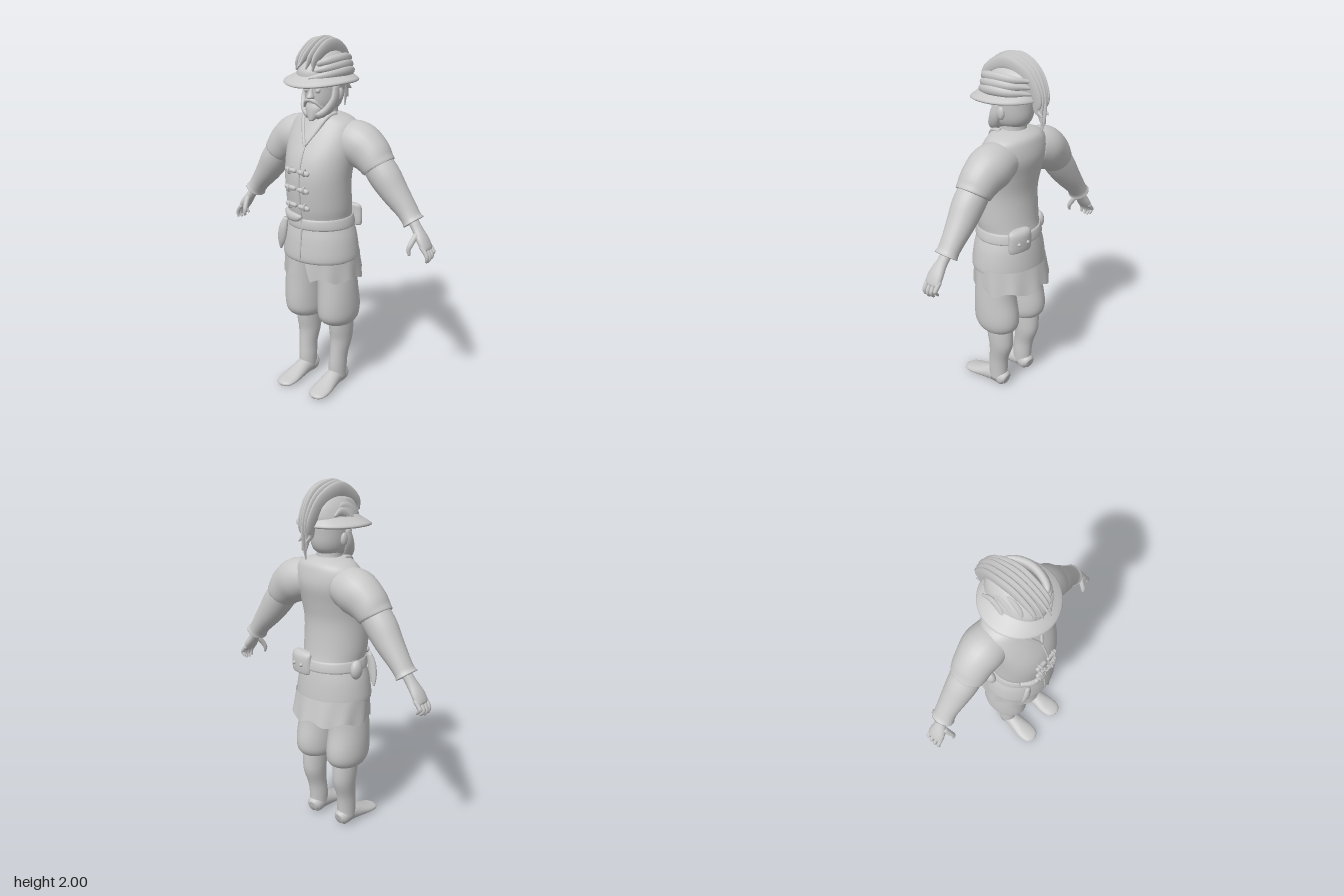
import * as THREE from 'three';

const grey = new THREE.MeshStandardMaterial({ color: 0xc8c8c8, side: THREE.DoubleSide });
grey.name = 'plain grey';

// Smooth skin over elliptical rings [x, y, z, ra, rb].
// With level = true rings stay horizontal (list them bottom to top); otherwise they follow the path.
function loft(rows, { n = 24, sub = 4, level = false, ref = [0, 0, 1] } = {}) {
  const path = new THREE.CatmullRomCurve3(rows.map(r => new THREE.Vector3(r[0], r[1], r[2])), false, 'catmullrom', 0.5);
  const size = new THREE.CatmullRomCurve3(rows.map(r => new THREE.Vector3(r[3], r[4], 0)), false, 'catmullrom', 0.5);
  const count = (rows.length - 1) * sub, pos = [], idx = [];
  for (let i = 0; i <= count; i++) {
    const c = path.getPoint(i / count), s = size.getPoint(i / count);
    const u = new THREE.Vector3(1, 0, 0), v = new THREE.Vector3(0, 0, 1);
    if (!level) {
      const t = path.getTangent(i / count);
      v.set(...ref).addScaledVector(t, -t.dot(new THREE.Vector3(...ref))).normalize();
      u.crossVectors(t, v);
    }
    for (let j = 0; j < n; j++) {
      const a = j / n * Math.PI * 2;
      pos.push(...c.clone().addScaledVector(u, s.x * Math.cos(a)).addScaledVector(v, s.y * Math.sin(a)).toArray());
    }
  }
  for (let i = 0; i < count; i++) for (let j = 0; j < n; j++) {
    const a = i * n + j, b = i * n + (j + 1) % n;
    idx.push(a, a + n, b, b, a + n, b + n);
  }
  const first = pos.length / 3, last = first + 1, top = count * n;
  pos.push(...path.getPoint(0).toArray(), ...path.getPoint(1).toArray());
  for (let j = 0; j < n; j++) {
    const k = (j + 1) % n;
    idx.push(first, j, k, last, top + k, top + j);
  }
  const g = new THREE.BufferGeometry();
  g.setAttribute('position', new THREE.Float32BufferAttribute(pos, 3));
  g.setIndex(idx);
  g.computeVertexNormals();
  return g;
}

// Horizontal ring from height, half width and front/back z.
const ring = (y, rx, front, back, x = 0) => [x, y, (front + back) / 2, rx, (front - back) / 2];
const mirror = (s, rows) => rows.map(r => [s * r[0], ...r.slice(1)]);

export function createModel() {
  const model = new THREE.Group();
  model.name = 'bearded man in feathered hat';
  const add = (name, geo, parent = model) => {
    const m = new THREE.Mesh(geo, grey);
    m.name = name;
    parent.add(m);
    return m;
  };

  // Jacket
  add('jacket', loft([
    ring(0.81, 0.195, 0.18, -0.16), ring(0.795, 0.21, 0.195, -0.175), ring(0.82, 0.224, 0.21, -0.18),
    ring(0.93, 0.207, 0.2, -0.17), ring(1.02, 0.178, 0.185, -0.155), ring(1.1, 0.184, 0.2, -0.14),
    ring(1.25, 0.188, 0.213, -0.13), ring(1.36, 0.198, 0.195, -0.148), ring(1.46, 0.21, 0.15, -0.17),
    ring(1.54, 0.195, 0.105, -0.16), ring(1.58, 0.15, 0.085, -0.14), ring(1.605, 0.07, 0.07, -0.09),
  ], { n: 40, level: true }));
  add('belt', loft([ring(0.985, 0.188, 0.19, -0.163), ring(0.995, 0.193, 0.197, -0.167),
    ring(1.035, 0.184, 0.195, -0.16), ring(1.045, 0.178, 0.188, -0.152)], { n: 40, sub: 2, level: true }));
  add('jacketSeam', loft([[0, 1.44, 0.16, 0.006, 0.006], [0, 1.36, 0.196, 0.006, 0.006],
    [0, 1.25, 0.214, 0.006, 0.006], [0, 1.1, 0.201, 0.006, 0.006], [0, 1.02, 0.192, 0.006, 0.006],
    [0, 0.82, 0.211, 0.006, 0.006]], { n: 6 }));

  // Toggle fastenings
  for (const [y, z] of [[1.31, 0.208], [1.215, 0.212], [1.12, 0.205]]) for (const s of [-1, 1]) {
    const t = add('toggle', new THREE.CapsuleGeometry(0.013, 0.05, 4, 10));
    t.position.set(-0.015 + s * 0.042, y - s * 0.004, z);
    t.rotation.z = Math.PI / 2 - 0.1;
    const loop = add('toggleLoop', new THREE.TorusGeometry(0.016, 0.006, 6, 12));
    loop.position.set(-0.015 + s * 0.05, y, z);
    loop.rotation.y = Math.PI / 2;
  }

  // Ragged shirt tail, open at the front
  const tail = new THREE.PlaneGeometry(1, 1, 60, 3), p = tail.attributes.position;
  for (let i = 0; i < p.count; i++) {
    const f = 0.5 - p.getY(i), u = p.getX(i) + 0.5;
    const a = 0.05 + u * (Math.PI * 2 - 0.1) + (u < 0.5 ? 1 : -1) * 0.2 * f * Math.abs(1 - 2 * u);
    const r = 1 + f * (0.03 + 0.025 * Math.sin(a * 11));
    p.setXYZ(i, Math.sin(a) * 0.222 * r, 0.83 - f * (0.135 + 0.014 * Math.sin(a * 7 + 1)), 0.005 + Math.cos(a) * (0.19 + 0.012 * f) * r - 0.012 * f);
  }
  tail.computeVertexNormals();
  add('shirtTail', tail);

  for (const s of [-1, 1]) {
    const side = s > 0 ? 'left' : 'right';

    // Leg
    const leg = new THREE.Group();
    leg.name = side + 'Leg';
    model.add(leg);
    add('breeches', loft(mirror(s, [
      ring(0.42, 0.06, 0.07, -0.08, 0.112), ring(0.412, 0.085, 0.1, -0.105, 0.112), ring(0.45, 0.104, 0.138, -0.135, 0.115),
      ring(0.52, 0.109, 0.147, -0.138, 0.117), ring(0.65, 0.106, 0.143, -0.115, 0.115), ring(0.82, 0.1, 0.14, -0.12, 0.105),
    ]), { level: true }), leg);
    add('calf', loft(mirror(s, [
      ring(0.04, 0.048, 0.06, -0.058, 0.11), ring(0.12, 0.05, 0.062, -0.06, 0.11), ring(0.2, 0.05, 0.055, -0.07, 0.113),
      ring(0.29, 0.06, 0.05, -0.1, 0.115), ring(0.36, 0.064, 0.06, -0.105, 0.117), ring(0.45, 0.065, 0.07, -0.1, 0.118),
    ]), { level: true }), leg);
    add('foot', loft(mirror(s, [
      [0.105, 0.045, -0.064, 0.03, 0.03], [0.107, 0.052, -0.04, 0.047, 0.05], [0.109, 0.055, 0.03, 0.046, 0.052],
      [0.112, 0.042, 0.1, 0.053, 0.04], [0.116, 0.028, 0.17, 0.059, 0.026], [0.118, 0.02, 0.225, 0.048, 0.017],
      [0.118, 0.018, 0.248, 0.018, 0.008],
    ]), { ref: [0, 1, 0] }), leg);

    // Arm
    const arm = new THREE.Group();
    arm.name = side + 'Arm';
    model.add(arm);
    add('shortSleeve', loft(mirror(s, [
      [0.1, 1.468, -0.04, 0.1, 0.105], [0.2, 1.446, -0.045, 0.122, 0.12], [0.275, 1.404, -0.045, 0.112, 0.108],
      [0.325, 1.354, -0.043, 0.094, 0.1], [0.338, 1.339, -0.043, 0.088, 0.092], [0.33, 1.347, -0.043, 0.07, 0.075],
    ])), arm);
    add('longSleeve', loft(mirror(s, [
      [0.3, 1.38, -0.045, 0.08, 0.085], [0.37, 1.295, -0.045, 0.086, 0.085], [0.43, 1.217, -0.05, 0.075, 0.076],
      [0.5, 1.135, -0.055, 0.058, 0.063], [0.535, 1.09, -0.055, 0.052, 0.061], [0.549, 1.072, -0.055, 0.058, 0.066],
      [0.54, 1.083, -0.055, 0.04, 0.045],
    ])), arm);
    add('palm', loft(mirror(s, [
      [0.53, 1.1, -0.055, 0.027, 0.03], [0.575, 1.04, -0.05, 0.026, 0.033], [0.612, 0.99, -0.045, 0.026, 0.047],
      [0.638, 0.95, -0.045, 0.02, 0.048], [0.645, 0.938, -0.045, 0.012, 0.04],
    ]), { n: 16 }), arm);
    for (let f = 0; f < 4; f++) {
      const z = -0.008 - f * 0.025, d = [0.006, 0, 0.004, 0.018][f];
      add('finger', loft(mirror(s, [
        [0.625, 0.965, z, 0.013, 0.013], [0.653, 0.93, z, 0.012, 0.012], [0.664 - d / 3, 0.903 + d, z, 0.011, 0.011],
        [0.657 - f * 0.006, 0.878 + d, z, 0.006, 0.006],
      ]), { n: 8, sub: 3 }), arm);
    }
    add('thumb', loft(mirror(s, [
      [0.588, 1.02, -0.02, 0.016, 0.016], [0.577, 0.975, 0.012, 0.015, 0.015], [0.57, 0.945, 0.025, 0.012, 0.012],
      [0.577, 0.915, 0.027, 0.006, 0.006],
    ]), { n: 8, sub: 3 }), arm);

    // Collar, ear, eye, cheek beard and moustache
    add('collar', loft(mirror(s, [[0.085, 1.6, 0, 0.014, 0.014], [0.075, 1.585, 0.065, 0.012, 0.012],
      [0.04, 1.51, 0.118, 0.01, 0.01], [0, 1.44, 0.162, 0.008, 0.008]]), { n: 8 }));
    const ear = add('ear', new THREE.SphereGeometry(0.03, 12, 8));
    ear.scale.set(0.5, 1.2, 0.8);
    ear.position.set(s * 0.1, 1.7, -0.02);
    const eye = add('eye', new THREE.SphereGeometry(0.014, 10, 8));
    eye.position.set(s * 0.038, 1.725, 0.094);
    add('cheekBeard', loft(mirror(s, [[0.094, 1.75, 0.01, 0.012, 0.025], [0.096, 1.68, 0.025, 0.016, 0.032],
      [0.068, 1.62, 0.055, 0.022, 0.035], [0.02, 1.59, 0.085, 0.02, 0.03]]), { n: 10 }));
    add('moustache', loft(mirror(s, [[0, 1.678, 0.117, 0.009, 0.01], [0.03, 1.668, 0.108, 0.01, 0.012],
      [0.058, 1.635, 0.085, 0.005, 0.006]]), { n: 8 }));
  }

  // Head
  add('neck', loft([ring(1.55, 0.085, 0.06, -0.11), ring(1.6, 0.07, 0.045, -0.09), ring(1.68, 0.07, 0.04, -0.09)], { level: true }));
  add('head', loft([ring(1.6, 0.04, 0.08, -0.03), ring(1.63, 0.075, 0.09, -0.1), ring(1.67, 0.092, 0.1, -0.128),
    ring(1.73, 0.1, 0.103, -0.138), ring(1.8, 0.1, 0.105, -0.14), ring(1.86, 0.07, 0.08, -0.1)], { level: true }));
  add('beard', loft([ring(1.567, 0.012, 0.115, 0.09), ring(1.595, 0.04, 0.115, 0.04), ring(1.63, 0.055, 0.112, 0.03),
    ring(1.655, 0.045, 0.105, 0.04)], { level: true, n: 14 }));
  add('nose', loft([ring(1.68, 0.012, 0.118, 0.08), ring(1.69, 0.02, 0.133, 0.08), ring(1.715, 0.013, 0.118, 0.08),
    ring(1.75, 0.01, 0.105, 0.08)], { level: true, n: 10 }));

  // Hat
  const hat = new THREE.Group();
  hat.name = 'hat';
  model.add(hat);
  const brim = loft([ring(1.775, 0.1, 0.1, -0.13), ring(1.765, 0.17, 0.185, -0.155), ring(1.772, 0.197, 0.213, -0.185),
    ring(1.785, 0.194, 0.21, -0.182), ring(1.81, 0.14, 0.17, -0.165), ring(1.83, 0.11, 0.14, -0.14)], { n: 40, sub: 2, level: true });
  const b = brim.attributes.position;
  for (let i = 0; i < b.count; i++) b.setY(i, b.getY(i) - 0.5 * Math.max(0, b.getZ(i)) ** 2);
  brim.computeVertexNormals();
  add('brim', brim, hat);
  add('crown', loft([ring(1.79, 0.125, 0.165, -0.17), ring(1.83, 0.118, 0.16, -0.17), ring(1.88, 0.095, 0.125, -0.155),
    ring(1.92, 0.06, 0.07, -0.11), ring(1.935, 0.02, 0.02, -0.05)], { n: 32, level: true }), hat);

  // Folded cloth bands sweeping along the left of the crown
  for (let k = 0; k < 3; k++) {
    const y = 1.82 + k * 0.032, w = 0.145 - k * 0.012;
    add('hatBand', loft([[0.03, y - 0.025, 0.165 - k * 0.025, 0.008, 0.012], [w * 0.75, y - 0.01, 0.1, 0.022, 0.018],
      [w, y + 0.005, 0, 0.026, 0.02], [w * 0.8, y, -0.1, 0.02, 0.016], [0.03, y - 0.01, -0.165, 0.008, 0.01]],
    { n: 10, ref: [1, 0, 0] }), hat);
  }
  // Curled small feathers on the right of the crown
  for (let k = 0; k < 3; k++) {
    const x = -0.075 - k * 0.02;
    add('sideFeather', loft([[x - 0.01, 1.8, 0.1 - k * 0.04, 0.015, 0.012], [x, 1.865 - k * 0.02, 0.07 - k * 0.04, 0.024, 0.013],
      [x + 0.005, 1.885 - k * 0.02, 0 - k * 0.03, 0.022, 0.012], [x, 1.83, -0.07 - k * 0.02, 0.006, 0.006]],
    { n: 8, ref: [1, 0, 0] }), hat);
  }
  // Crest of drooping plumes
  for (let k = 0; k < 5; k++) {
    const x = -0.056 + k * 0.026, d = Math.abs(k - 2) * 0.012;
    add('plume', loft([
      [x, 1.855 - d, 0.2 - d * 2, 0.006, 0.004], [x, 1.91 - d, 0.13, 0.025, 0.01], [x, 1.95 - d / 2, 0.04, 0.038, 0.013],
      [x, 1.957 - d / 2, -0.04, 0.041, 0.013], [x * 0.8, 1.915 - d, -0.135, 0.045, 0.012], [x * 0.6, 1.82 - d, -0.195, 0.036, 0.01],
      [x * 0.5, 1.71 + d, -0.215 + d, 0.02, 0.007], [x * 0.5, 1.61 + d * 4, -0.205 - d, 0.004, 0.003],
    ], { n: 10, ref: [1, 0, 0] }), hat);
  }

  // Belt gear
  const bag = add('backPouch', loft([ring(0.955, 0.06, -0.135, -0.165), ring(0.965, 0.075, -0.12, -0.18), ring(1.04, 0.075, -0.12, -0.182),
    ring(1.07, 0.07, -0.12, -0.17), ring(1.08, 0.05, -0.125, -0.15)], { level: true, n: 20, sub: 3 }));
  bag.position.x = 0.07;
  bag.rotation.y = -0.15;
  for (const dx of [-0.03, 0.03]) add('pouchButton', new THREE.SphereGeometry(0.011, 8, 6), bag).position.set(dx, 1.01, -0.18);
  const flask = add('flask', new THREE.SphereGeometry(0.04, 16, 12));
  flask.scale.set(0.75, 1.35, 1);
  flask.position.set(-0.2, 1.005, -0.03);
  add('dagger', loft([[-0.12, 1.03, 0.178, 0.014, 0.012], [-0.135, 0.97, 0.185, 0.028, 0.016], [-0.15, 0.9, 0.182, 0.026, 0.014],
    [-0.165, 0.84, 0.172, 0.006, 0.006]], { n: 10 }));
  add('frontPurse', loft([[-0.14, 1.065, 0.14, 0.012, 0.012], [-0.09, 1.05, 0.18, 0.026, 0.018], [-0.03, 1.05, 0.198, 0.024, 0.016],
    [0.005, 1.06, 0.2, 0.008, 0.008]], { n: 10 }));
  return model;
}
